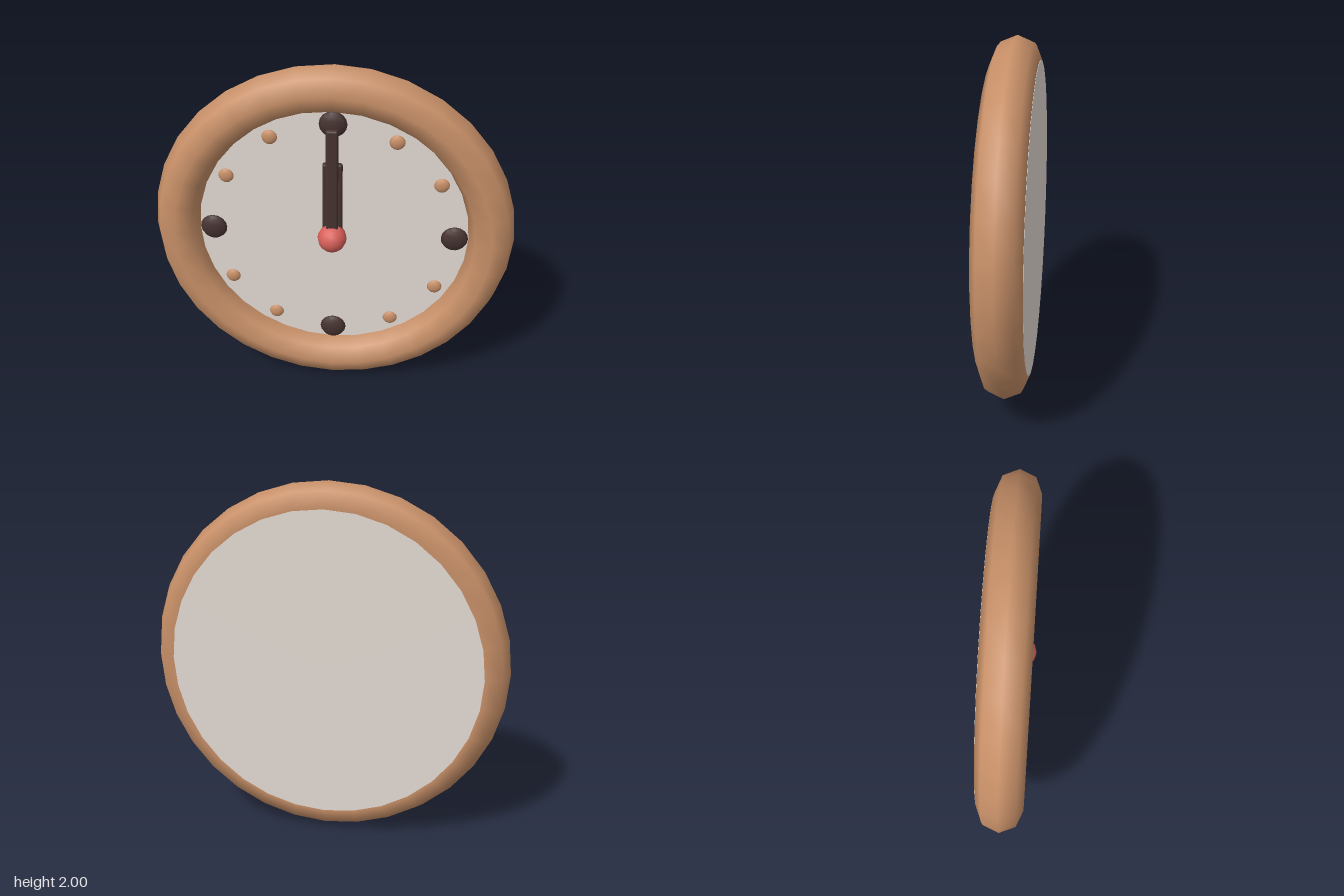
import * as THREE from 'three';
import { RoundedBoxGeometry } from 'three/addons/geometries/RoundedBoxGeometry.js';

const material = (color) => new THREE.MeshStandardMaterial({ color });

export function createModel() {
  const clock = new THREE.Group();
  clock.name = 'wallClock';
  const wood = material(0xc89068);
  const dark = material(0x453230);
  const cream = material(0xe3dad2);
  const red = material(0xd9605a);

  const add = (name, geometry, mat, x, y, z) => {
    const mesh = new THREE.Mesh(geometry, mat);
    mesh.name = name;
    mesh.position.set(x, y, z);
    clock.add(mesh);
    return mesh;
  };

  // Round wooden frame
  add('frame', new THREE.TorusGeometry(0.873, 0.127, 8, 32), wood, 0, 1, -0.012);

  // Dial: a thick disc filling the frame, closing it at the back
  const dial = new THREE.CylinderGeometry(0.87, 0.87, 0.14, 32).rotateX(Math.PI / 2);
  add('dial', dial, cream, 0, 1, -0.07);

  // Hour markers: flattened beads, larger at every quarter
  for (let i = 0; i < 12; i++) {
    const angle = (i * Math.PI) / 6;
    const quarter = i % 3 === 0;
    const bead = new THREE.SphereGeometry(quarter ? 0.075 : 0.042, 10, 8);
    const marker = add(quarter ? 'quarterMarker' : 'hourMarker', bead, quarter ? dark : wood,
      0.674 * Math.sin(angle), 1 + 0.674 * Math.cos(angle), 0);
    marker.scale.z = 0.45;
  }

  // Hands, pointing straight up from the centre
  const hand = (name, width, length, z) => add(name,
    new RoundedBoxGeometry(width, length, 0.035, 2, 0.012), dark, 0, 1 + length / 2, z);
  hand('hourHand', 0.108, 0.456, 0.028);
  hand('minuteHand', 0.066, 0.67, 0.06);

  // Centre knob
  add('knob', new THREE.SphereGeometry(0.081, 12, 10), red, 0, 1, 0.056);

  return clock;
}
